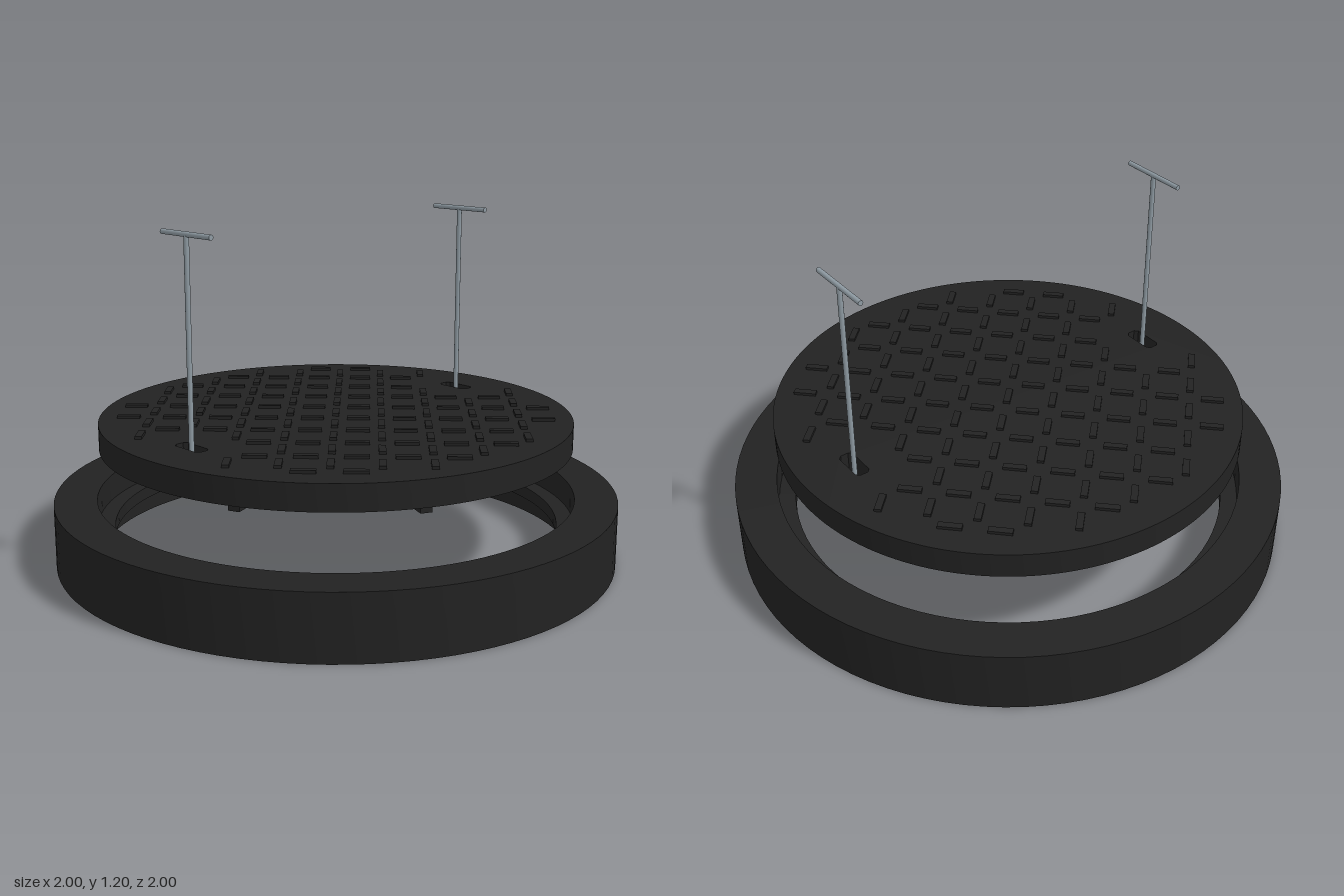
import * as THREE from 'three';
import { toCreasedNormals } from 'three/addons/utils/BufferGeometryUtils.js';

export function createModel() {
  const model = new THREE.Group();
  const iron = new THREE.MeshStandardMaterial({ color: 0x222222 });
  iron.name = 'castIron';
  const steel = new THREE.MeshStandardMaterial({ color: 0x8f9ba3 });
  steel.name = 'steel';

  const add = (parent, name, geometry, material, x = 0, y = 0, z = 0) => {
    const mesh = new THREE.Mesh(geometry, material);
    mesh.name = name;
    mesh.position.set(x, y, z);
    parent.add(mesh);
    return mesh;
  };

  // Frame ring with a ledge inside for the cover to sit on
  const profile = [
    [1, 0], [1, 0.225], [0.85, 0.225], [0.85, 0.13],
    [0.79, 0.13], [0.79, 0.085], [0.85, 0.085], [0.85, 0], [1, 0],
  ].map(([r, y]) => new THREE.Vector2(r, y));
  add(model, 'frameRing', toCreasedNormals(new THREE.LatheGeometry(profile, 96), 0.5), iron);

  const cover = new THREE.Group();
  cover.name = 'cover';
  model.add(cover);

  // Round plate with two keyhole slots
  const slotZ = 0.645, bottom = 0.41, top = 0.5;
  const disc = new THREE.Shape().absarc(0, 0, 0.837, 0, Math.PI * 2, false);
  for (const s of [-1, 1]) {
    const hw = 0.064, hh = 0.026, c = 0.012;
    disc.holes.push(new THREE.Path([
      [-hw, -hh + c], [-hw, hh - c], [-hw + c, hh], [hw - c, hh],
      [hw, hh - c], [hw, -hh + c], [hw - c, -hh], [-hw + c, -hh], [-hw, -hh + c],
    ].map(([x, y]) => new THREE.Vector2(x, y + s * slotZ))));
  }
  const plate = new THREE.ExtrudeGeometry(disc, {
    depth: top - bottom, bevelEnabled: false, curveSegments: 96,
  });
  plate.rotateX(-Math.PI / 2);
  add(cover, 'coverPlate', toCreasedNormals(plate, 0.5), iron, 0, bottom, 0);

  // Raised tread bars, alternating diagonally and leaving the slots clear
  const step = 0.1143;
  const tread = new THREE.BoxGeometry(0.08, 0.02, 0.024);
  for (let j = -6; j <= 6; j++) {
    for (let i = -6; i <= 6; i++) {
      if (Math.hypot(i, j) > 6.5) continue;
      if (Math.abs(j) >= 5 && Math.abs(i) <= 1) continue;
      const bar = add(cover, 'treadBar', tread, iron, i * step, 0.5, j * step);
      bar.rotation.y = ((i + j) % 2 === 0 ? -1 : 1) * Math.PI / 4;
    }
  }

  // Radial stiffening ribs underneath
  const rib = new THREE.BoxGeometry(0.67, 0.045, 0.04);
  for (let k = 0; k < 8; k++) {
    const a = (k + 0.5) * Math.PI / 4;
    const mesh = add(cover, 'rib', rib, iron, 0.437 * Math.cos(a), 0.3925, 0.437 * Math.sin(a));
    mesh.rotation.y = -a;
  }

  // T-shaped lifting keys hooked through the slots
  const r = 0.009;
  for (const s of [-1, 1]) {
    const key = new THREE.Group();
    key.name = s > 0 ? 'frontLiftingKey' : 'backLiftingKey';
    key.position.z = s * slotZ;
    model.add(key);
    add(key, 'keyRod', new THREE.CylinderGeometry(r, r, 0.785, 16), steel, 0, 0.7975, 0);
    const grip = add(key, 'keyGrip', new THREE.CylinderGeometry(r, r, 0.252, 16), steel, 0, 1.19, 0);
    grip.rotation.z = Math.PI / 2;
    const lock = add(key, 'keyLock', new THREE.CylinderGeometry(r, r, 0.09, 16), steel, 0, 0.402, 0);
    lock.rotation.x = Math.PI / 2;
  }

  return model;
}
